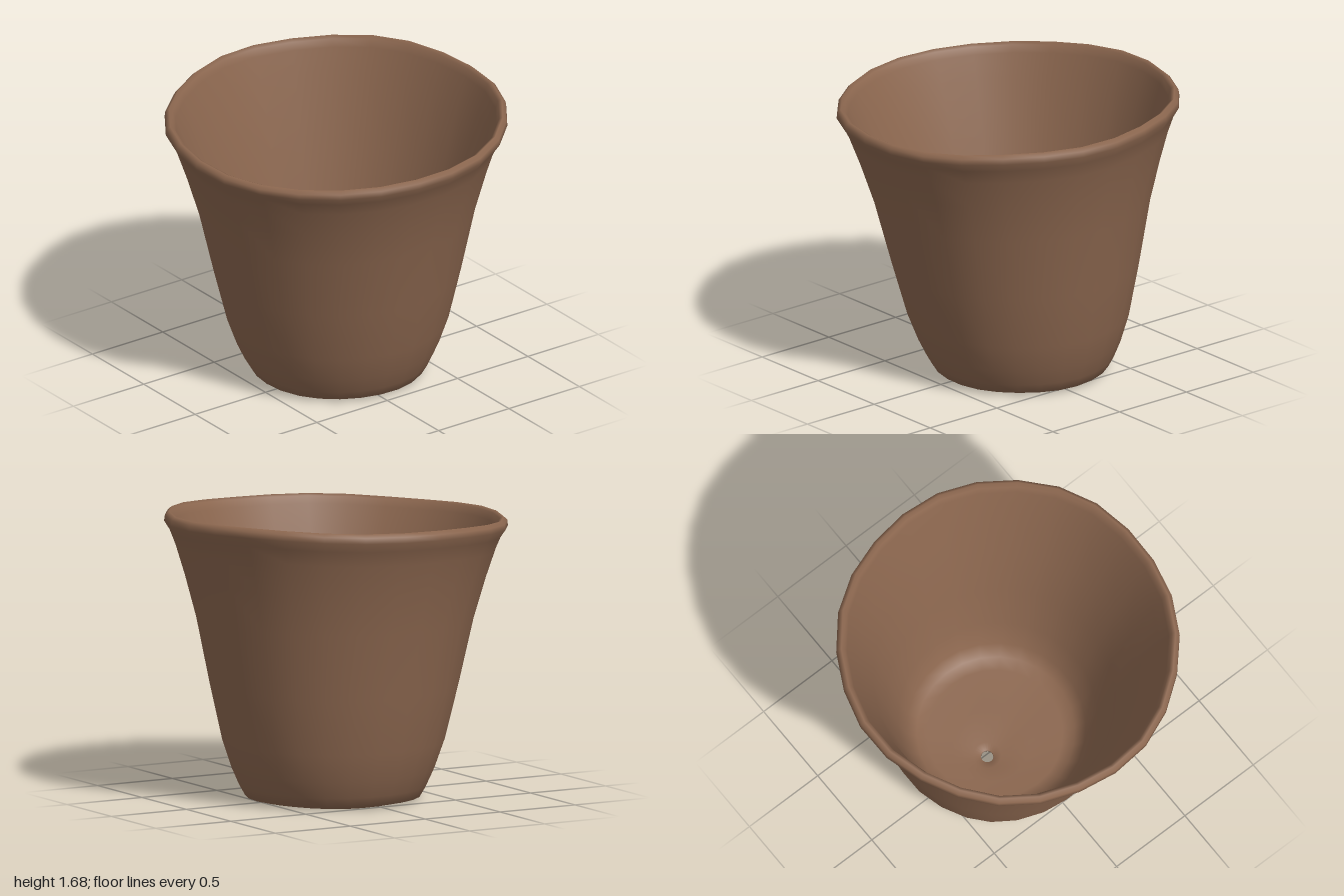
import * as THREE from 'three';

const SIDES = 26;
const HEIGHT = 1.6;

// Profiles as [radius, y], running outwards, up, over the rim and back inside
const underside = [[0.035, 0.04], [0.08, 0.015], [0.25, 0.004], [0.43, 0.003]];
const outerWall = [
  [0.505, 0.02], [0.54, 0.08], [0.585, 0.18], [0.64, 0.34], [0.715, 0.66],
  [0.797, 1.04], [0.865, 1.28], [0.92, 1.45], [0.955, 1.535],
];
const rim = [[0.988, 1.585], [0.984, 1.618], [0.962, 1.638], [0.94, 1.625], [0.925, 1.58]];
const innerWall = [[0.88, 1.45], [0.752, 1.04], [0.66, 0.66], [0.575, 0.34], [0.515, 0.16], [0.455, 0.095]];
const floor = [[0.39, 0.085], [0.22, 0.08], [0.08, 0.07], [0.036, 0.05]];

// One point of the pot: the axis leans, the rim tilts, and small rings gather at the drain hole
function potPoint([radius, y], angle) {
  const t = y / HEIGHT;
  const lean = -0.055 * (1 - t);
  const gather = THREE.MathUtils.clamp((0.42 - radius) / 0.34, 0, 1);
  const tilt = t * t;
  const uneven = (1 - gather) * (0.3 + 0.6 * tilt);
  const r = radius * (1 + uneven * (0.006 * Math.sin(3 * angle + 1) + 0.005 * Math.sin(7 * angle)));
  const x = THREE.MathUtils.lerp(lean, -0.175, gather) + r * Math.sin(angle);
  const z = THREE.MathUtils.lerp(lean, 0.025, gather) + r * Math.cos(angle);
  const lift = tilt * (-0.025 * x - 0.036 * z) + uneven * 0.005 * Math.sin(5 * angle + 2);
  return [x, Math.max(0, y + lift), z];
}

// Closed smooth skin through all rings; the last ring joins the first inside the hole
function loft(rings) {
  const pos = [], index = [];
  rings.forEach((ring, i) => {
    const lo = i * SIDES, up = ((i + 1) % rings.length) * SIDES;
    for (let j = 0; j < SIDES; j++) {
      const k = (j + 1) % SIDES;
      pos.push(...potPoint(ring, (j / SIDES) * Math.PI * 2));
      index.push(lo + j, lo + k, up + j, lo + k, up + k, up + j);
    }
  });
  const geometry = new THREE.BufferGeometry();
  geometry.setAttribute('position', new THREE.Float32BufferAttribute(pos, 3));
  geometry.setIndex(index);
  geometry.computeVertexNormals();
  return geometry;
}

export function createModel() {
  const clay = new THREE.MeshStandardMaterial({ color: 0x8c674f });
  clay.name = 'brown clay';

  const pot = new THREE.Mesh(loft([...underside, ...outerWall, ...rim, ...innerWall, ...floor]), clay);
  pot.name = 'flowerPot';

  const model = new THREE.Group();
  model.name = 'pot';
  model.add(pot);
  return model;
}
